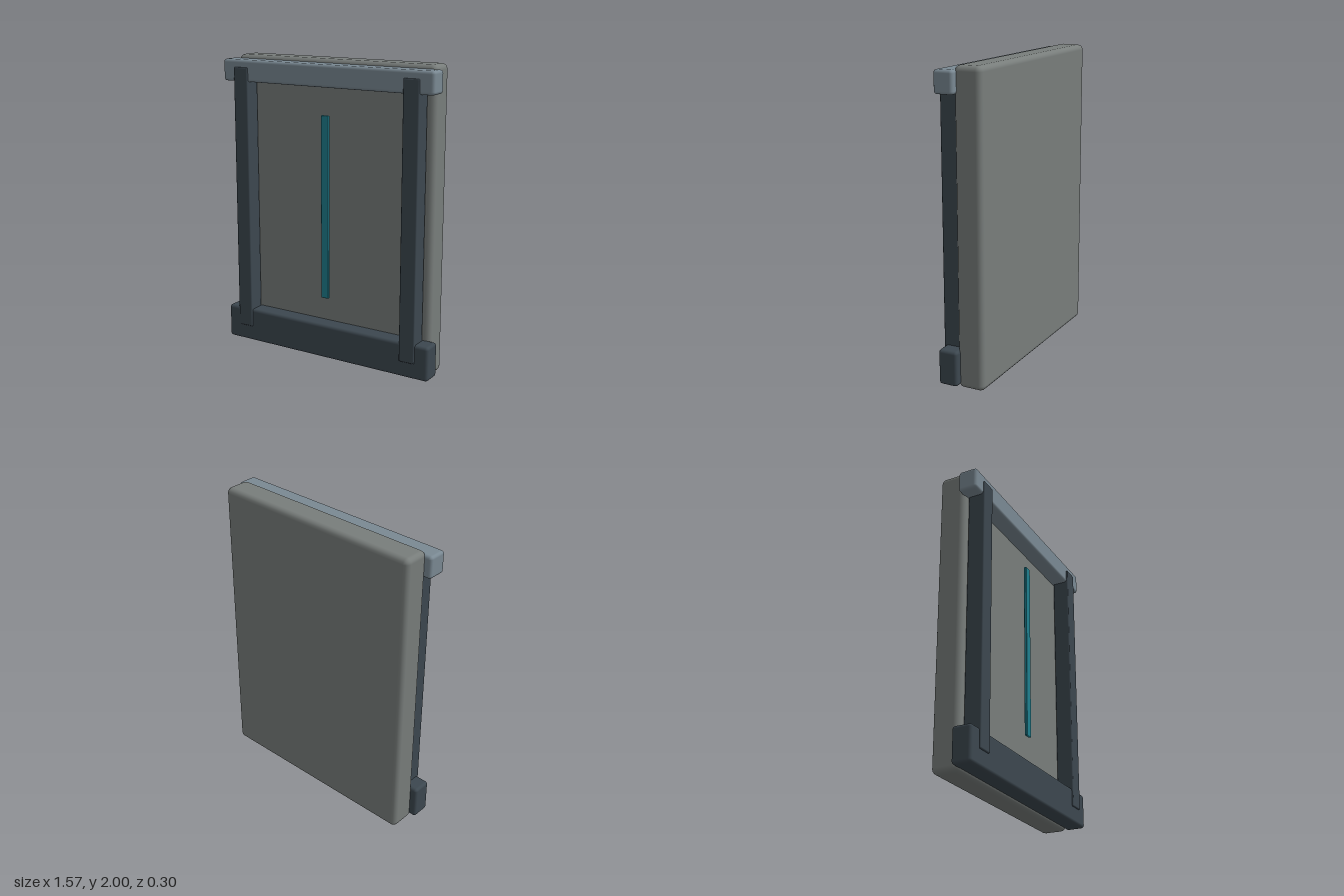
import * as THREE from 'three';
import { RoundedBoxGeometry } from 'three/addons/geometries/RoundedBoxGeometry.js';

const paint = (color) => new THREE.MeshStandardMaterial({ color });

export function createModel() {
  const model = new THREE.Group();
  model.name = 'framedPanel';

  const grey = paint(0x787d7b);
  const dark = paint(0x3c474f);
  const steel = paint(0x7a8993);
  const teal = paint(0x1f7f8f);

  // Rounded block spanning the given [min, max] ranges
  function block(name, material, x, y, z, radius) {
    const size = [x, y, z].map(([a, b]) => b - a);
    const mesh = new THREE.Mesh(new RoundedBoxGeometry(...size, 2, radius), material);
    mesh.position.set(...[x, y, z].map(([a, b]) => (a + b) / 2));
    mesh.name = name;
    model.add(mesh);
  }

  // Main slab
  block('panel', grey, [-0.74, 0.74], [0, 2], [-0.15, 0.03], 0.035);

  // Cross rails, wider than the slab
  block('topRail', steel, [-0.785, 0.785], [1.83, 1.975], [0.01, 0.14], 0.02);
  block('bottomRail', dark, [-0.785, 0.785], [0.02, 0.25], [0.01, 0.14], 0.02);

  // Uprights, standing slightly proud of the rails
  for (const [name, side] of [['leftPost', 1], ['rightPost', -1]]) {
    const c = side * 0.637;
    block(name, dark, [c - 0.055, c + 0.055], [0.125, 1.925], [0.035, 0.15], 0.008);
  }

  // Thin central light strip, held in front of the slab
  block('lightStrip', teal, [-0.028, 0.028], [0.43, 1.65], [0.093, 0.113], 0.005);

  return model;
}
